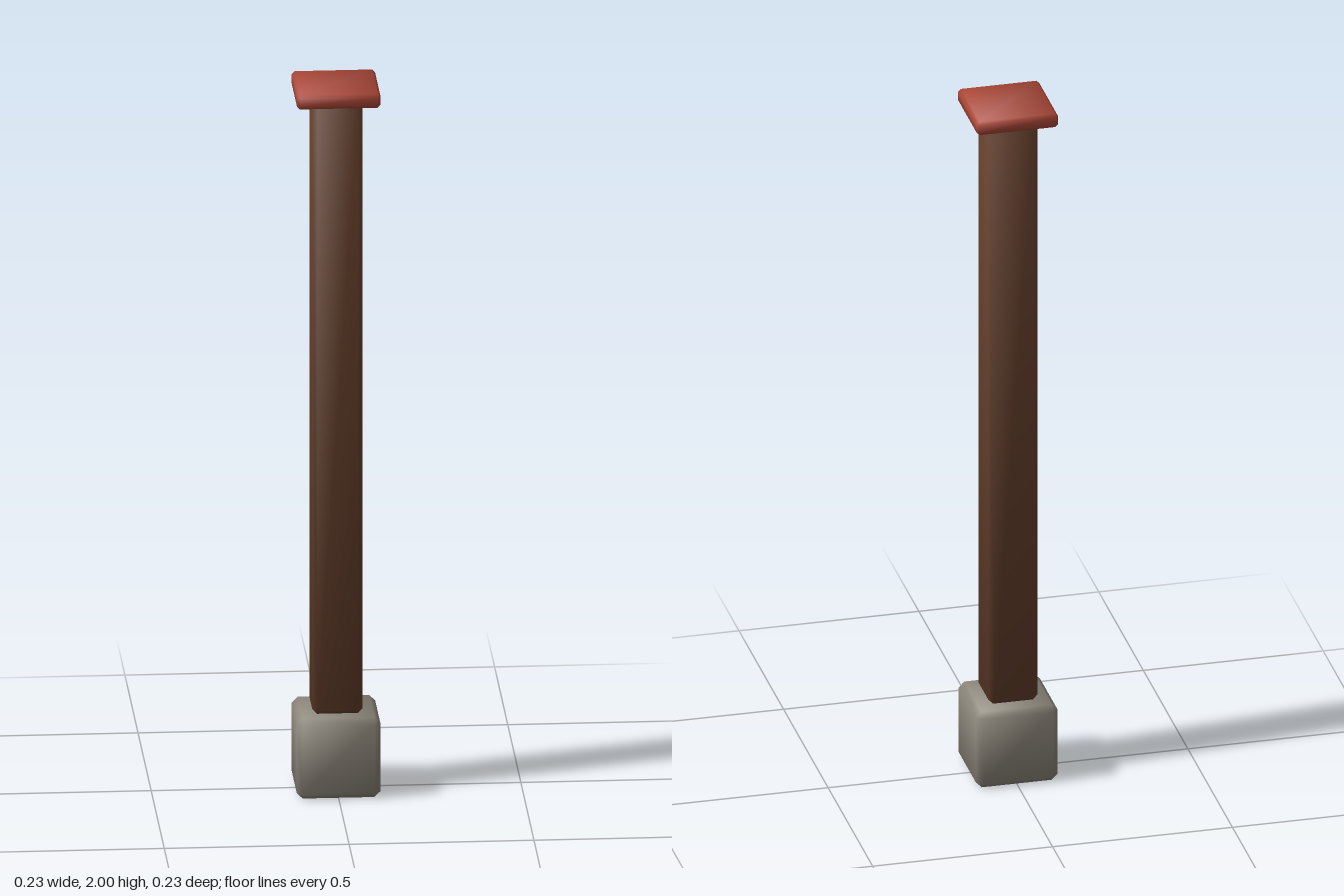
import * as THREE from 'three';

// Box with chamfered edges and soft normals blended across the chamfers
function chamferBox(width, height, depth, bevel) {
  const geo = new THREE.BoxGeometry(width, height, depth);
  const pos = geo.attributes.position, nor = geo.attributes.normal;
  const index = Array.from(geo.index.array);
  const lookup = {};
  const p = new THREE.Vector3(), n = new THREE.Vector3();

  // Inset every face corner within its own face and tilt its normal outward
  for (let i = 0; i < pos.count; i++) {
    p.fromBufferAttribute(pos, i);
    n.fromBufferAttribute(nor, i);
    const sign = p.toArray().map(Math.sign);
    const axis = n.toArray().findIndex((v) => Math.abs(v) > 0.5);
    lookup[[...sign, axis]] = i;
    const at = p.toArray().map((v, k) => (k === axis ? v : v - sign[k] * bevel));
    pos.setXYZ(i, ...at);
    n.fromArray(sign.map((s, k) => s * (k === axis ? 1 : 0.43))).normalize();
    nor.setXYZ(i, n.x, n.y, n.z);
  }

  // Add a triangle, turned so that it faces outward
  const vert = (i) => new THREE.Vector3().fromBufferAttribute(pos, i);
  const tri = (a, b, c) => {
    const [A, B, C] = [a, b, c].map(vert);
    const face = B.clone().sub(A).cross(C.clone().sub(A));
    const out = new THREE.Vector3();
    [a, b, c].forEach((i) => out.add(new THREE.Vector3().fromBufferAttribute(nor, i)));
    index.push(...(face.dot(out) > 0 ? [a, b, c] : [a, c, b]));
  };

  // Corner triangles
  for (const x of [-1, 1]) for (const y of [-1, 1]) for (const z of [-1, 1]) {
    tri(...[0, 1, 2].map((axis) => lookup[[x, y, z, axis]]));
  }
  // Edge strips, each running along one axis
  for (let along = 0; along < 3; along++) {
    const u = (along + 1) % 3, v = (along + 2) % 3;
    for (const su of [-1, 1]) for (const sv of [-1, 1]) {
      const id = (end, axis) => {
        const s = [0, 0, 0];
        s[along] = end; s[u] = su; s[v] = sv;
        return lookup[[...s, axis]];
      };
      tri(id(-1, u), id(1, u), id(1, v));
      tri(id(-1, u), id(1, v), id(-1, v));
    }
  }
  geo.clearGroups();
  geo.setIndex(index);
  return geo;
}

export function createModel() {
  const group = new THREE.Group();
  group.name = 'pillar';

  const material = (name, color) => {
    const m = new THREE.MeshStandardMaterial({ color });
    m.name = name;
    return m;
  };
  const stone = material('grey stone', 0x8c867a);
  const wood = material('brown wood', 0x653f2b);
  const paint = material('red paint', 0xab4636);

  const add = (name, size, bottom, top, bevel, mat) => {
    const mesh = new THREE.Mesh(chamferBox(size, top - bottom, size, bevel), mat);
    mesh.name = name;
    mesh.position.y = (bottom + top) / 2;
    group.add(mesh);
  };

  add('stoneBase', 0.226, 0, 0.226, 0.016, stone);
  add('post', 0.136, 0.226, 1.96, 0.013, wood);
  add('capPlate', 0.226, 1.96, 2, 0.008, paint);
  return group;
}
